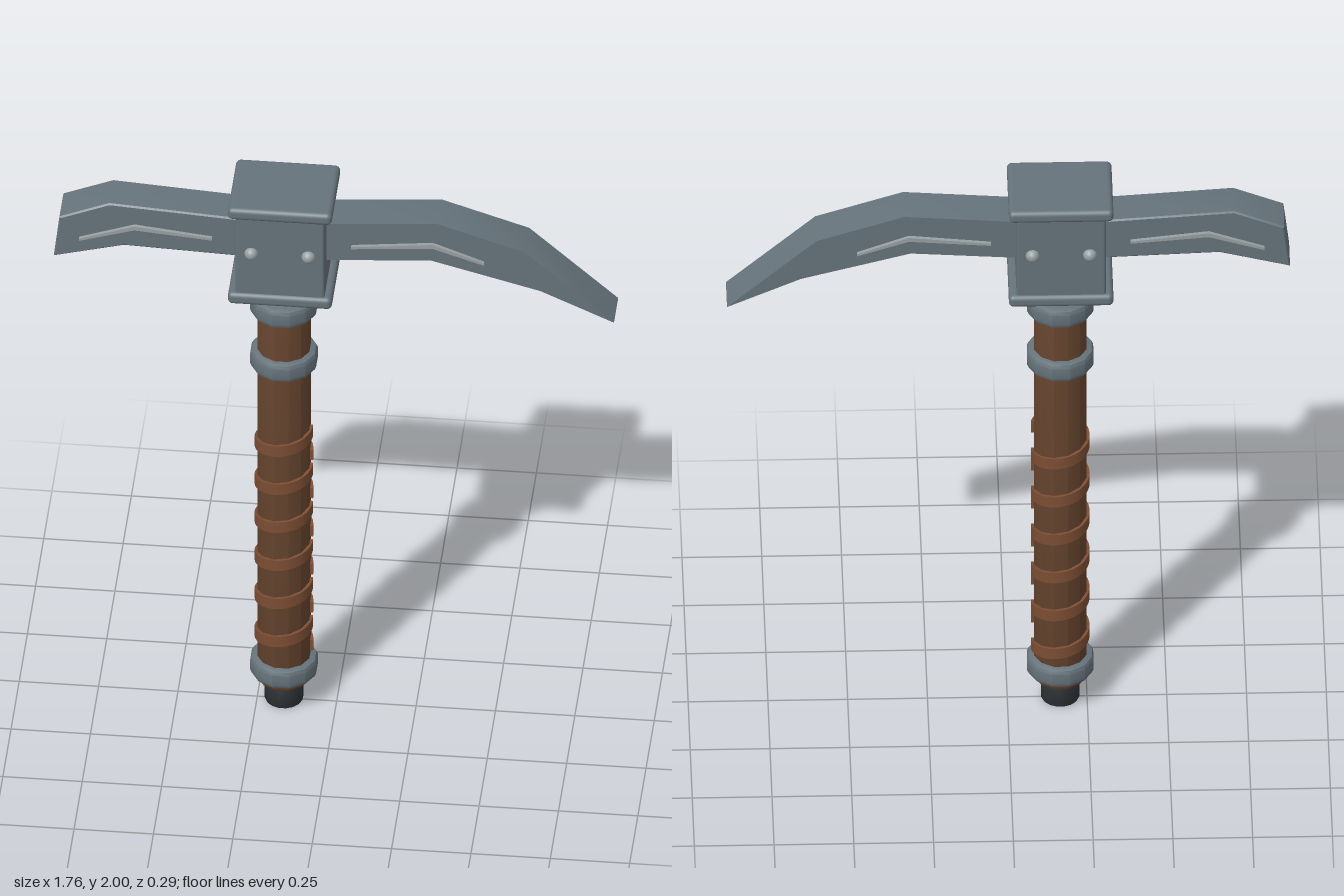
import * as THREE from 'three';
import { RoundedBoxGeometry } from 'three/addons/geometries/RoundedBoxGeometry.js';
import { toCreasedNormals } from 'three/addons/utils/BufferGeometryUtils.js';

const AXIS = -0.166; // x of the handle axis
const material = (color) => new THREE.MeshStandardMaterial({ color });

export function createModel() {
  const model = new THREE.Group();
  const steel = material(0x66737b);
  const wood = material(0x64432d);
  const leather = material(0x7b4d33);
  const dark = material(0x2e3236);
  const bright = material(0x98a0a3);

  const add = (name, geometry, mat, x = 0, y = 0, z = 0) => {
    const mesh = new THREE.Mesh(geometry, mat);
    mesh.name = name;
    mesh.position.set(x, y, z);
    model.add(mesh);
    return mesh;
  };

  // Turned part with chamfered rims, twelve-sided with a flat facing front
  const turned = (name, r, y0, y1, c, mat, sides = 12) => {
    const R = r / Math.cos(Math.PI / sides);
    const profile = [
      [0, y0], [R - c, y0], [R - c * 0.3, y0 + c * 0.3], [R, y0 + c],
      [R, y1 - c], [R - c * 0.3, y1 - c * 0.3], [R - c, y1], [0, y1],
    ].map(([a, b]) => new THREE.Vector2(a, b));
    const g = new THREE.LatheGeometry(profile, sides, Math.PI / sides);
    return add(name, toCreasedNormals(g, 0.6), mat, AXIS);
  };

  // Flat outline extruded symmetrically about z = 0
  const slab = (name, points, depth, mat, bevel = 0) => {
    const shape = new THREE.Shape(points.map(([x, y]) => new THREE.Vector2(x, y)));
    const g = new THREE.ExtrudeGeometry(shape, {
      depth: depth - 2 * bevel, bevelEnabled: bevel > 0,
      bevelSize: bevel, bevelThickness: bevel, bevelOffset: -bevel, bevelSegments: 1,
    });
    g.translate(0, 0, -depth / 2 + bevel);
    return add(name, toCreasedNormals(g, 0.5), mat);
  };

  // Handle
  turned('handle', 0.082, 0.083, 1.56, 0.012, wood);
  turned('pommel', 0.06, 0, 0.1, 0.008, dark, 16);
  turned('neck', 0.061, 1.54, 1.65, 0.004, dark, 16);
  for (const [y0, y1] of [[0.108, 0.177], [1.308, 1.377], [1.518, 1.587]]) {
    turned('collar', 0.104, y0, y1, 0.016, steel);
  }

  // Leather wrap: slanted half-turn bands, alternating front and back
  const arc = new THREE.Shape();
  arc.absarc(0, 0, 0.092, 0, Math.PI, false);
  arc.absarc(0, 0, 0.076, Math.PI, 0, true);
  const band = new THREE.ExtrudeGeometry(arc, { depth: 0.04, bevelEnabled: false, curveSegments: 10 });
  band.translate(0, 0, -0.02).rotateX(-Math.PI / 2);
  const p = band.attributes.position;
  for (let i = 0; i < p.count; i++) {
    const angle = Math.atan2(Math.max(0, -p.getZ(i)), p.getX(i));
    p.setY(i, p.getY(i) + 0.024 * (2 * angle / Math.PI - 1));
  }
  const wrap = toCreasedNormals(band, 0.6);
  for (let k = 0; k < 6; k++) {
    add('frontWrap', wrap, leather, AXIS, 1.032 - 0.149 * k).rotation.y = Math.PI;
    add('backWrap', wrap, leather, AXIS, 0.981 - 0.149 * k);
  }

  // Head block with end plates
  add('headBlock', new RoundedBoxGeometry(0.28, 0.33, 0.254, 2, 0.008), steel, AXIS, 1.815);
  for (const y of [1.65, 1.979]) {
    add('headPlate', new RoundedBoxGeometry(0.328, 0.043, 0.276, 3, 0.016), steel, AXIS, y);
  }

  // Rivets on both faces
  const rivet = new THREE.SphereGeometry(0.022, 14, 10);
  for (const side of [-1, 1]) {
    for (const dx of [-0.09, 0.09]) add('rivet', rivet, bright, AXIS + dx, 1.827, side * 0.126);
  }

  // Curved pick and blunt adze
  slab('pick', [
    [-0.1, 1.768], [0.304, 1.796], [0.648, 1.703], [0.88, 1.597],
    [0.6, 1.85], [0.325, 1.94], [-0.1, 1.908],
  ], 0.13, steel);
  slab('adze', [
    [-0.24, 1.763], [-0.24, 1.908], [-0.71, 1.94], [-0.867, 1.876],
    [-0.885, 1.722], [-0.664, 1.78],
  ], 0.13, steel, 0.005);

  // Thin bent ridges showing on both sides of each blade
  const ridge = (name, a, b, c) => slab(name, [
    [a[0], a[1] - 0.004], [b[0], b[1] - 0.008], [c[0], c[1] - 0.004],
    [c[0], c[1] + 0.004], [b[0], b[1] + 0.007], [a[0], a[1] + 0.004],
  ], 0.154, bright);
  ridge('pickRidge', [0.053, 1.834], [0.31, 1.859], [0.472, 1.801]);
  ridge('adzeRidge', [-0.804, 1.801], [-0.63, 1.859], [-0.385, 1.834]);

  return model;
}
